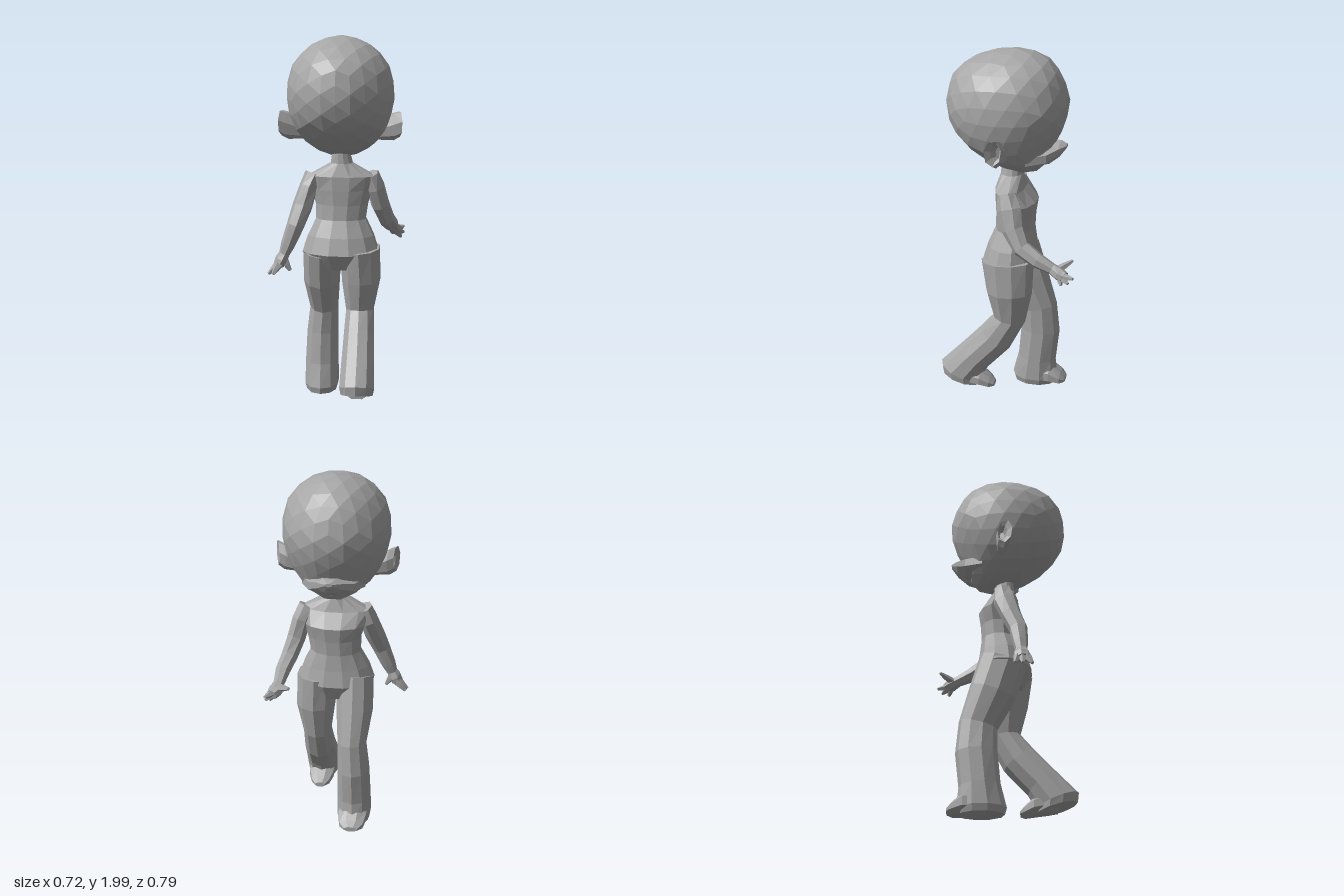
import * as THREE from 'three';

const clay = new THREE.MeshStandardMaterial({ color: 0xa6a6a6, flatShading: true });
clay.name = 'clay grey';

function addMesh(group, name, geometry) {
  geometry.computeVertexNormals();
  const mesh = new THREE.Mesh(geometry, clay);
  mesh.name = name;
  group.add(mesh);
}

// Closed faceted skin over oval rings: [x, y, z, radiusU, radiusV, ringNormal?]
function loft(rings, sides, { ref = [1, 0, 0], axis = null, turn = 0.5 } = {}) {
  const centres = rings.map((r) => new THREE.Vector3(r[0], r[1], r[2]));
  const loops = rings.map((r, i) => {
    const normal = r[5] || axis;
    const t = normal
      ? new THREE.Vector3(...normal)
      : centres[Math.min(i + 1, rings.length - 1)].clone().sub(centres[Math.max(i - 1, 0)]);
    t.normalize();
    const u = new THREE.Vector3(...ref);
    u.addScaledVector(t, -u.dot(t)).normalize();
    const v = t.clone().cross(u);
    return Array.from({ length: sides }, (_, k) => {
      const a = ((k + turn) / sides) * Math.PI * 2;
      return centres[i].clone()
        .addScaledVector(u, Math.cos(a) * r[3])
        .addScaledVector(v, Math.sin(a) * r[4]);
    });
  });
  const points = [];
  const last = rings.length - 1;
  for (let k = 0; k < sides; k++) {
    const n = (k + 1) % sides;
    points.push(centres[0], loops[0][n], loops[0][k]);
    points.push(centres[last], loops[last][k], loops[last][n]);
    for (let i = 0; i < last; i++) {
      const [a, b] = [loops[i], loops[i + 1]];
      points.push(a[k], a[n], b[n], a[k], b[n], b[k]);
    }
  }
  return new THREE.BufferGeometry().setFromPoints(points);
}

// Head outline by height: [y, half width, face z, back z]
const HEAD = [
  [1.345, 0, -0.09, -0.09], [1.355, 0.07, -0.14, 0], [1.4, 0.15, -0.18, 0.12],
  [1.47, 0.225, -0.2, 0.22], [1.54, 0.258, -0.24, 0.3], [1.62, 0.28, -0.275, 0.34],
  [1.72, 0.29, -0.295, 0.355], [1.85, 0.255, -0.26, 0.325], [1.93, 0.19, -0.21, 0.25],
  [1.98, 0.11, -0.14, 0.14], [2.0, 0, -0.02, -0.02],
];

function headGeometry() {
  const g = new THREE.IcosahedronGeometry(1, 3);
  const p = g.attributes.position;
  for (let i = 0; i < p.count; i++) {
    const dy = THREE.MathUtils.clamp(p.getY(i), -1, 1);
    const y = 1.6725 + 0.3275 * dy;
    let k = 0;
    while (k < HEAD.length - 2 && HEAD[k + 1][0] < y) k++;
    const f = (y - HEAD[k][0]) / (HEAD[k + 1][0] - HEAD[k][0]);
    const [, w, zf, zb] = HEAD[k].map((a, j) => THREE.MathUtils.lerp(a, HEAD[k + 1][j], f));
    const r = Math.sqrt(1 - dy * dy) || 1;
    p.setXYZ(i, 0.025 + (p.getX(i) / r) * w, y, (zf + zb) / 2 + ((p.getZ(i) / r) * (zb - zf)) / 2);
  }
  return g;
}

export function createModel() {
  const model = new THREE.Group();
  model.name = 'figure';

  addMesh(model, 'head', headGeometry());

  // Broad wedge of the lower face
  addMesh(model, 'muzzle', loft([
    [0.025, 1.45, -0.1, 0.18, 0.06], [0.025, 1.46, -0.2, 0.13, 0.055],
    [0.025, 1.482, -0.25, 0.07, 0.04], [0.025, 1.5, -0.285, 0.02, 0.01],
  ], 8, { axis: [0, 0, -1] }));

  // Cupped ears
  for (const s of [1, -1]) {
    const x = (d) => 0.025 + s * d;
    addMesh(model, s > 0 ? 'leftEar' : 'rightEar', loft([
      [x(0.2), 1.5, 0.01, 0.05, 0.035], [x(0.28), 1.525, 0.025, 0.075, 0.045],
      [x(0.315), 1.54, 0.035, 0.07, 0.045], [x(0.3), 1.54, 0.025, 0.045, 0.025],
      [x(0.265), 1.53, 0.015, 0.03, 0.015],
    ], 7, { ref: [0, 1, 0], axis: [s, 0, 0.35 * -s * s] }));
  }

  // Neck, chest, waist and hips in one skin
  addMesh(model, 'torso', loft([
    [0.025, 1.4, 0.01, 0.045, 0.05], [0.03, 1.325, 0.01, 0.06, 0.058],
    [0.03, 1.255, 0.01, 0.185, 0.08], [0.03, 1.18, -0.02, 0.17, 0.112],
    [0.03, 1.1, -0.015, 0.145, 0.105], [0.025, 1.02, -0.01, 0.138, 0.105],
    [0.025, 0.93, 0.005, 0.183, 0.13], [0.025, 0.84, 0.01, 0.212, 0.152],
    [0.025, 0.75, 0.005, 0.16, 0.1],
  ], 12, { axis: [0, -1, 0] }));

  // Legs with flared hems, caught mid-stride
  addMesh(model, 'rightLeg', loft([
    [-0.08, 0.86, 0.01, 0.1, 0.13], [-0.083, 0.68, -0.045, 0.102, 0.128],
    [-0.078, 0.5, -0.12, 0.08, 0.105], [-0.088, 0.35, -0.128, 0.088, 0.11],
    [-0.09, 0.17, -0.11, 0.094, 0.108], [-0.09, 0.05, -0.1, 0.096, 0.13, [0, -1, 0]],
    [-0.09, 0.015, -0.1, 0.085, 0.12, [0, -1, 0]],
  ], 10));
  addMesh(model, 'leftLeg', loft([
    [0.13, 0.86, 0.01, 0.11, 0.145], [0.137, 0.68, 0, 0.108, 0.128],
    [0.13, 0.51, 0, 0.078, 0.09, [0, -1, 0.15]], [0.131, 0.38, 0.08, 0.085, 0.1],
    [0.134, 0.25, 0.2, 0.092, 0.1], [0.135, 0.15, 0.28, 0.096, 0.12, [0, -0.93, 0.37]],
    [0.135, 0.11, 0.275, 0.088, 0.115, [0, -0.96, 0.28]],
  ], 10));

  // Shoes
  addMesh(model, 'rightShoe', loft([
    [-0.09, 0.07, -0.08, 0.085, 0.065], [-0.09, 0.07, -0.19, 0.085, 0.062],
    [-0.09, 0.045, -0.25, 0.07, 0.035], [-0.09, 0.035, -0.275, 0.04, 0.015],
  ], 8, { axis: [0, 0, -1] }));
  addMesh(model, 'leftShoe', loft([
    [0.135, 0.14, 0.28, 0.075, 0.055], [0.135, 0.12, 0.16, 0.075, 0.05],
    [0.135, 0.095, 0.11, 0.055, 0.032], [0.135, 0.085, 0.085, 0.03, 0.015],
  ], 8, { axis: [0, 0, -1] }));

  // Arms run from shoulder to palm
  addMesh(model, 'leftArm', loft([
    [0.18, 1.26, 0, 0.05, 0.05], [0.21, 1.19, -0.02, 0.05, 0.07],
    [0.235, 1.09, -0.045, 0.05, 0.06], [0.265, 1.0, -0.1, 0.045, 0.05],
    [0.288, 0.95, -0.19, 0.04, 0.042], [0.295, 0.915, -0.27, 0.03, 0.03],
    [0.305, 0.895, -0.31, 0.04, 0.035], [0.32, 0.885, -0.34, 0.03, 0.03],
  ], 7));
  addMesh(model, 'rightArm', loft([
    [-0.12, 1.26, 0.01, 0.05, 0.05], [-0.148, 1.19, 0.025, 0.05, 0.065],
    [-0.178, 1.09, 0.06, 0.055, 0.055], [-0.212, 0.99, 0.1, 0.048, 0.05],
    [-0.25, 0.89, 0.112, 0.04, 0.04], [-0.27, 0.84, 0.118, 0.03, 0.032],
    [-0.285, 0.81, 0.12, 0.035, 0.045], [-0.3, 0.78, 0.125, 0.03, 0.045],
  ], 7));

  // Fingers: [name, base, tip]
  const fingers = [
    ['leftThumb', [0.29, 0.91, -0.3], [0.225, 0.94, -0.365]],
    ['leftFingers', [0.315, 0.89, -0.32], [0.347, 0.895, -0.39]],
    ['leftFingers', [0.315, 0.885, -0.32], [0.35, 0.865, -0.365]],
    ['leftFingers', [0.31, 0.885, -0.31], [0.338, 0.845, -0.325]],
    ['rightThumb', [-0.275, 0.815, 0.12], [-0.237, 0.75, 0.125]],
    ['rightFingers', [-0.295, 0.79, 0.1], [-0.348, 0.735, 0.09]],
    ['rightFingers', [-0.295, 0.79, 0.125], [-0.355, 0.73, 0.13]],
    ['rightFingers', [-0.295, 0.79, 0.15], [-0.325, 0.74, 0.178]],
  ];
  for (const [name, a, b] of fingers) {
    const mid = a.map((c, i) => (c + b[i]) / 2);
    addMesh(model, name, loft([[...a, 0.026, 0.022], [...mid, 0.018, 0.017], [...b, 0.009, 0.008]], 5));
  }
  return model;
}
